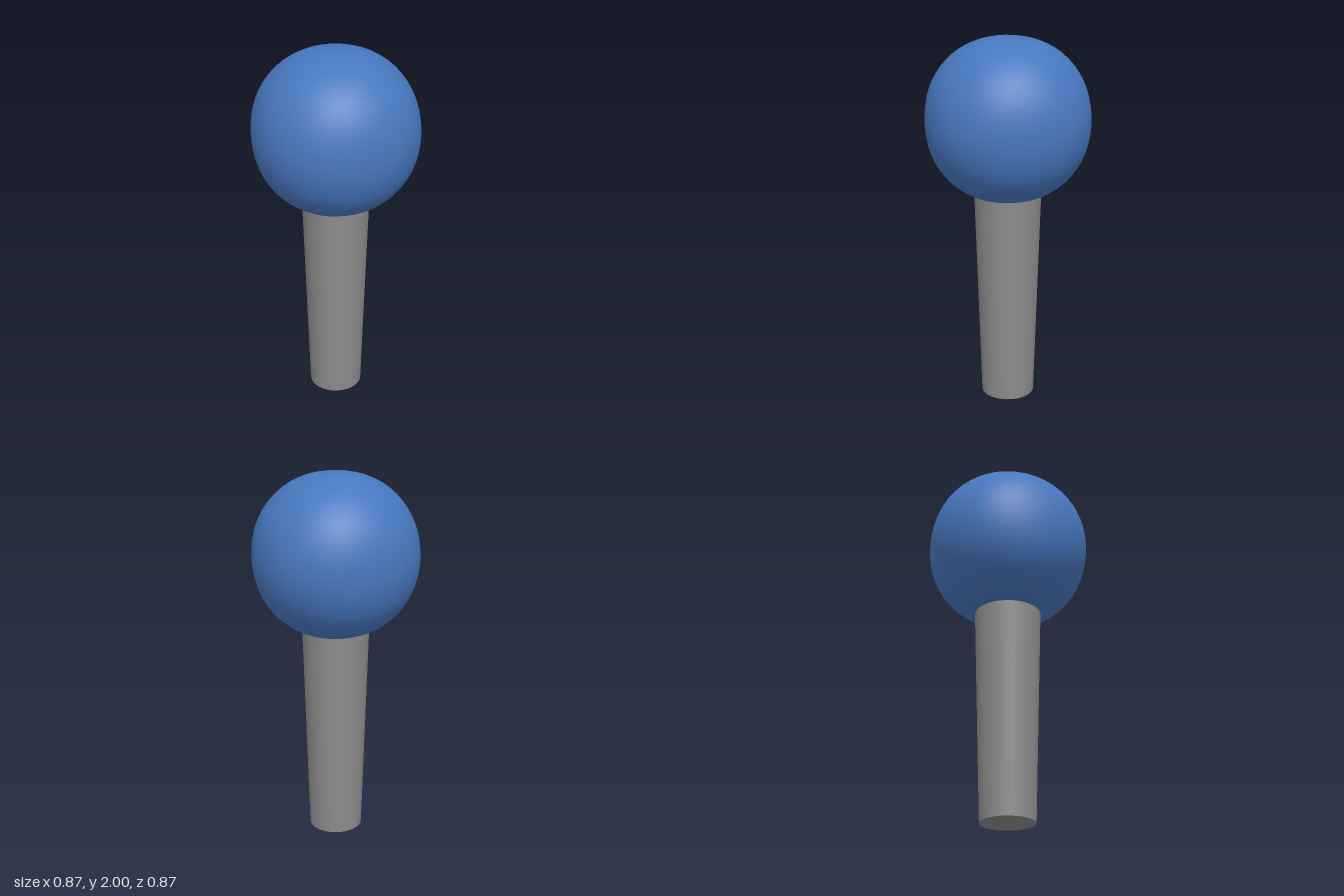
import * as THREE from 'three';
import { mergeVertices } from 'three/addons/utils/BufferGeometryUtils.js';

// Cube swollen into a nearly round ball: slightly fuller towards its edges and corners
function roundedCubeBall(radius, segments) {
  let geometry = new THREE.BoxGeometry(2, 2, 2, segments, segments, segments);
  geometry.deleteAttribute('normal');
  geometry.deleteAttribute('uv');
  geometry = mergeVertices(geometry);
  const position = geometry.attributes.position;
  const v = new THREE.Vector3();
  for (let i = 0; i < position.count; i++) {
    v.fromBufferAttribute(position, i);
    // even angular spacing across each face
    v.set(...v.toArray().map((c) => Math.tan(c * Math.PI / 4))).normalize();
    const t = 1 - (v.x ** 4 + v.y ** 4 + v.z ** 4);
    v.multiplyScalar(radius * (1 + 0.074 * t - 0.04 * t * t));
    position.setXYZ(i, v.x, v.y, v.z);
  }
  geometry.computeVertexNormals();
  return geometry;
}

export function createModel() {
  const model = new THREE.Group();
  const blue = new THREE.MeshStandardMaterial({ color: 0x4878c0 });
  const grey = new THREE.MeshStandardMaterial({ color: 0x8c8c8c });

  // Tapered handle, wider where it meets the head
  const handleHeight = 1.17;
  const handle = new THREE.Mesh(new THREE.CylinderGeometry(0.18, 0.145, handleHeight, 32), grey);
  handle.name = 'handle';
  handle.position.y = handleHeight / 2;

  // Round head resting on the handle
  const headRadius = 0.434;
  const head = new THREE.Mesh(roundedCubeBall(headRadius, 16), blue);
  head.name = 'head';
  head.position.y = 2 - headRadius;

  model.add(handle, head);
  return model;
}
